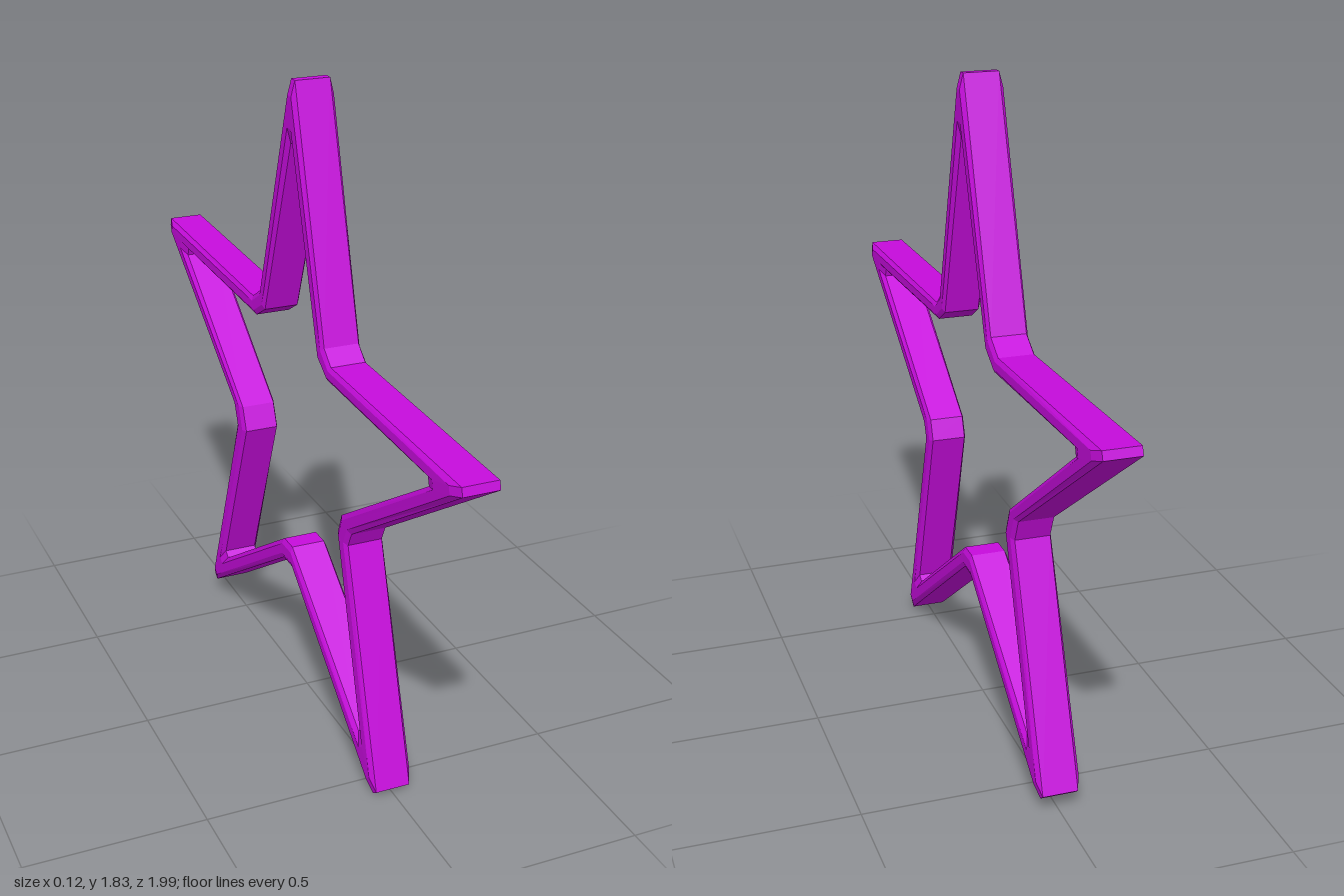
import * as THREE from 'three';

// Star corners as [z, y], ordered clockwise seen from +x, starting at the top.
const tips = [[0.024, 1.832], [-0.992, 1.163], [-0.643, 0.052], [0.578, 0.012], [0.996, 1.105]];
// The valley after each tip: two outer corners, then the two inner ones.
const valleys = [
  [[-0.217, 1.186], [-0.276, 1.149], [-0.185, 1.138], [-0.249, 1.101]],
  [[-0.442, 0.758], [-0.416, 0.694], [-0.373, 0.763], [-0.346, 0.694]],
  [[-0.056, 0.415], [0.013, 0.415], [-0.051, 0.479], [0.008, 0.479]],
  [[0.389, 0.672], [0.41, 0.715], [0.324, 0.683], [0.346, 0.742]],
  [[0.271, 1.133], [0.228, 1.17], [0.249, 1.09], [0.19, 1.127]],
];
// Bevelled bar section: [share from outer to inner edge, side, is it a bevel edge]
const section = [
  [0, 1, true], [0.25, 1, false], [0.75, 1, false], [1, 1, true],
  [1, -1, true], [0.75, -1, false], [0.25, -1, false], [0, -1, true],
];

const v2 = ([z, y]) => new THREE.Vector2(z, y);

// Stations along the outline, each with an outer point, inner point and half width
function stations() {
  const list = [];
  tips.forEach((t, i) => {
    const tip = v2(t);
    const next = valleys[i].map(v2);
    const prev = v2(valleys[(i + 4) % 5][1]);
    const dir = prev.add(next[0]).multiplyScalar(0.5).sub(tip).normalize();
    const across = new THREE.Vector2(-dir.y, dir.x);
    for (const s of [1, -1]) {
      list.push({
        outer: tip.clone().addScaledVector(across, 0.012 * s),
        inner: tip.clone().addScaledVector(dir, 0.17).addScaledVector(across, 0.012 * s),
        half: 0.06,
      });
    }
    list.push({ outer: next[0], inner: next[2], half: 0.056 });
    list.push({ outer: next[1], inner: next[3], half: 0.056 });
  });
  return list;
}

function frameGeometry() {
  const rings = stations().map(({ outer, inner, half }) =>
    section.map(([share, side, bevel]) => {
      const p = outer.clone().lerp(inner, share);
      return [side * (bevel ? 0.049 : half), p.y, p.x];
    }));
  const pos = [];
  rings.forEach((ring, i) => {
    const after = rings[(i + 1) % rings.length];
    for (let j = 0; j < section.length; j++) {
      const k = (j + 1) % section.length;
      const a = ring[j], b = after[j], c = after[k], d = ring[k];
      pos.push(...a, ...d, ...c, ...a, ...c, ...b);
    }
  });
  const geo = new THREE.BufferGeometry();
  geo.setAttribute('position', new THREE.Float32BufferAttribute(pos, 3));
  geo.computeVertexNormals();
  return geo;
}

export function createModel() {
  const group = new THREE.Group();
  group.name = 'star';
  const magenta = new THREE.MeshStandardMaterial({ color: 0xc60cdc });
  magenta.name = 'magenta';
  const frame = new THREE.Mesh(frameGeometry(), magenta);
  frame.name = 'starFrame';
  group.add(frame);
  return group;
}
